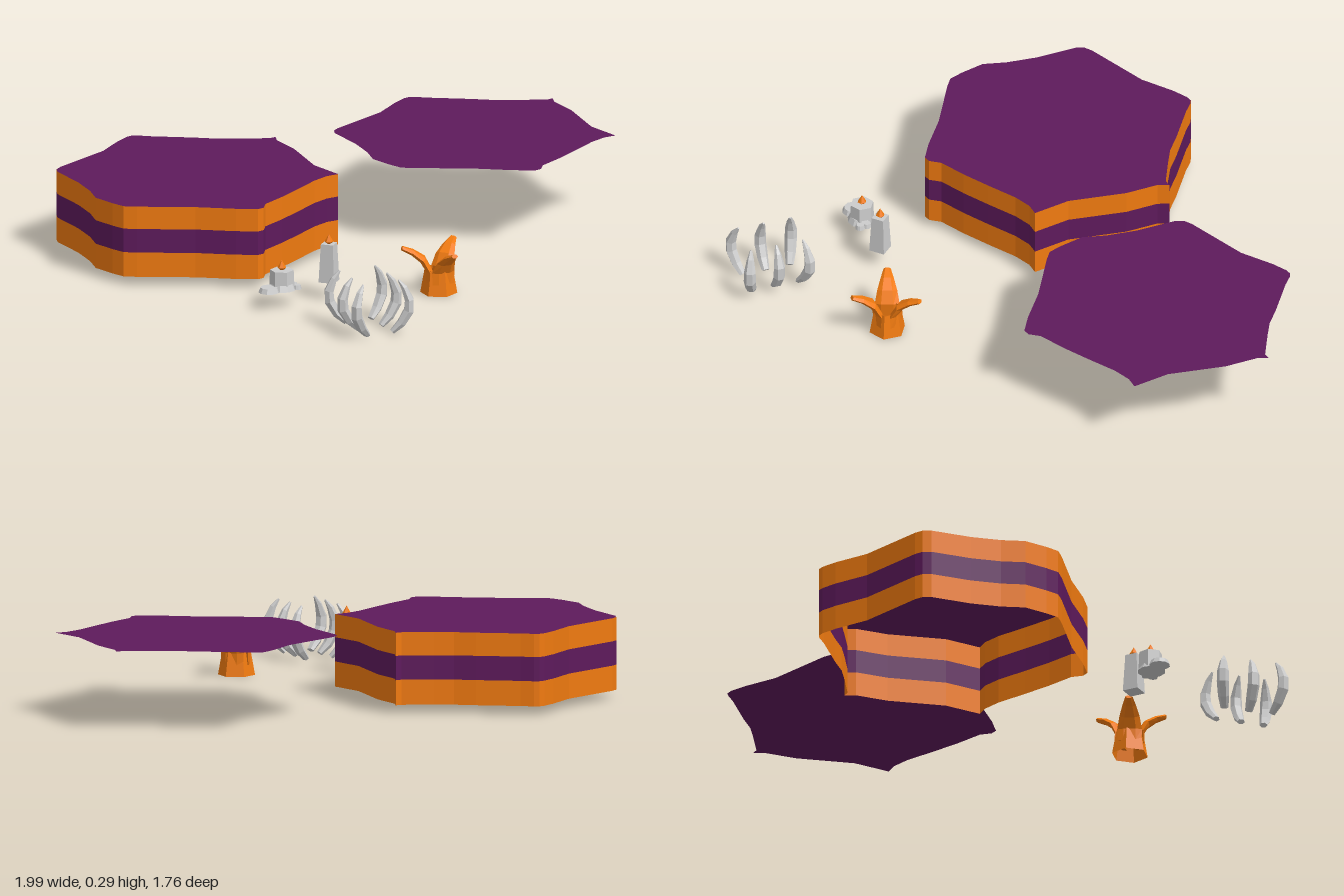
import * as THREE from 'three';

const mat = (color) => new THREE.MeshStandardMaterial({ color, flatShading: true, side: THREE.DoubleSide });
const orange = mat(0xf07a10), purple = mat(0x5e1a5c), grey = mat(0xcccccc);

// Wavy six-cornered outline as x, z
const OUTLINE = [
  [-0.557, -0.885], [-0.54, -0.878], [-0.50, -0.848], [-0.365, -0.765], [-0.30, -0.72], [-0.235, -0.69],
  [-0.13, -0.645], [-0.105, -0.65], [-0.118, -0.61], [-0.108, -0.49], [-0.13, -0.28], [-0.10, -0.145],
  [-0.147, -0.14], [-0.21, -0.11], [-0.31, -0.04], [-0.40, 0.02], [-0.49, 0.072], [-0.515, 0.11],
  [-0.54, 0.117], [-0.61, 0.08], [-0.73, 0], [-0.915, -0.095], [-0.955, -0.12], [-0.975, -0.17],
  [-1, -0.256], [-0.982, -0.34], [-0.975, -0.45], [-0.985, -0.60], [-0.975, -0.63], [-0.95, -0.65],
  [-0.73, -0.76], [-0.63, -0.845], [-0.58, -0.878],
];

function add(parent, name, geometry, material, x = 0, y = 0, z = 0) {
  const mesh = new THREE.Mesh(geometry, material);
  mesh.name = name;
  mesh.position.set(x, y, z);
  parent.add(mesh);
  return mesh;
}

function build(positions, index) {
  const g = new THREE.BufferGeometry();
  g.setAttribute('position', new THREE.Float32BufferAttribute(positions, 3));
  g.setIndex(index);
  const flat = g.toNonIndexed();
  flat.computeVertexNormals();
  return flat;
}

// Open wall strip following the outline between two heights
function wallBand(y0, y1) {
  const pos = [], idx = [], n = OUTLINE.length;
  OUTLINE.forEach(([x, z], i) => {
    pos.push(x, y0, z, x, y1, z);
    const a = i * 2, b = ((i + 1) % n) * 2;
    idx.push(a, a + 1, b, b, a + 1, b + 1);
  });
  return build(pos, idx);
}

// Solid along a bent spine: stations are [outward z, y, half width, half thickness]
function bentSpike(stations, sides) {
  const pos = [], idx = [], last = stations.length - 1;
  stations.forEach(([r, y, w, t], i) => {
    const p = stations[Math.max(0, i - 1)], q = stations[Math.min(last, i + 1)];
    const len = Math.hypot(q[0] - p[0], q[1] - p[1]);
    const tr = (q[0] - p[0]) / len, ty = (q[1] - p[1]) / len;
    for (let k = 0; k < sides; k++) {
      const a = (k / sides) * Math.PI * 2, s = Math.sin(a) * t;
      pos.push(Math.cos(a) * w, y - tr * s, r + ty * s);
      if (i < last) {
        const b = i * sides, c = b + sides, m = (k + 1) % sides;
        idx.push(b + k, c + k, b + m, b + m, c + k, c + m);
      }
    }
  });
  // End caps
  for (let k = 1; k < sides - 1; k++) {
    idx.push(0, k, k + 1);
    const c = last * sides;
    idx.push(c, c + k + 1, c + k);
  }
  return build(pos, idx);
}

function flame(parent, x, y, z) {
  const g = new THREE.LatheGeometry(
    [[0, 0], [0.016, 0.014], [0.009, 0.026], [0, 0.042]].map((p) => new THREE.Vector2(...p)), 6);
  add(parent, 'flame', g, orange, x, y, z);
}

export function createModel() {
  const model = new THREE.Group();

  // Striped walls, open underneath
  const walls = new THREE.Group();
  walls.name = 'stripedWalls';
  model.add(walls);
  add(walls, 'lowerBand', wallBand(0.03, 0.12), orange);
  add(walls, 'middleBand', wallBand(0.12, 0.207), purple);
  add(walls, 'upperBand', wallBand(0.207, 0.29), orange);

  // Two matching sheets: one covering the walls, one beside them
  const sheet = new THREE.ShapeGeometry(new THREE.Shape(OUTLINE.map(([x, z]) => new THREE.Vector2(x, -z))));
  sheet.rotateX(-Math.PI / 2);
  add(model, 'coverSheet', sheet, purple, 0, 0.29, 0);
  add(model, 'spareSheet', sheet, purple, 1.09, 0.29, 0);

  // Short candle in a puddle of wax
  const shortCandle = new THREE.Group();
  shortCandle.name = 'shortCandle';
  model.add(shortCandle);
  const x1 = -0.557, z1 = 0.347;
  add(shortCandle, 'candleBody', new THREE.CylinderGeometry(0.042, 0.045, 0.065, 6), grey, x1, 0.098, z1);
  [[-0.615, 0.362, 0.038, 0.018], [-0.557, 0.35, 0.05, 0.022], [-0.512, 0.345, 0.017, 0.016], [-0.51, 0.37, 0.018, 0.016]]
    .forEach(([x, z, r, h]) =>
      add(shortCandle, 'waxPuddle', new THREE.CylinderGeometry(r * 0.8, r, h, 10), grey, x, 0.06 + h / 2, z));
  flame(shortCandle, x1, 0.125, z1);

  // Tall four-sided candle
  const tallCandle = new THREE.Group();
  tallCandle.name = 'tallCandle';
  model.add(tallCandle);
  add(tallCandle, 'candleBody', new THREE.CylinderGeometry(0.032, 0.041, 0.14, 4), grey, -0.37, 0.133, 0.343);
  flame(tallCandle, -0.37, 0.196, 0.343);

  // Six curved ribs in two facing rows
  const ribs = new THREE.Group();
  ribs.name = 'ribs';
  model.add(ribs);
  const rib = bentSpike([
    [-0.036, 0.008, 0.014, 0.010], [-0.004, 0.04, 0.020, 0.017], [0.022, 0.085, 0.022, 0.020],
    [0.024, 0.125, 0.021, 0.018], [0.006, 0.17, 0.013, 0.012], [-0.014, 0.198, 0.004, 0.004],
  ], 6);
  for (const side of [-1, 1]) {
    [[0.64, 0.4], [0.745, 0], [0.845, -0.45]].forEach(([z, turn]) => {
      const m = add(ribs, 'rib', rib, grey, -0.403 + side * 0.082, 0, z);
      m.rotation.y = side * (Math.PI / 2 + turn);
    });
  }

  // Hollow stump with three petals curling outward
  const stump = new THREE.Group();
  stump.name = 'petalStump';
  stump.position.set(0.012, 0, 0.447);
  model.add(stump);
  add(stump, 'stumpWall', new THREE.CylinderGeometry(0.05, 0.066, 0.09, 6, 1, true), orange, 0, 0.045, 0);
  const petal = bentSpike([
    [0.038, 0.04, 0.042, 0.010], [0.036, 0.085, 0.044, 0.013], [0.058, 0.125, 0.036, 0.014],
    [0.095, 0.152, 0.024, 0.011], [0.132, 0.168, 0.013, 0.008],
  ], 6);
  for (const turn of [0, -1.9, 2.3]) add(stump, 'petal', petal, orange).rotation.y = turn;

  return model;
}
